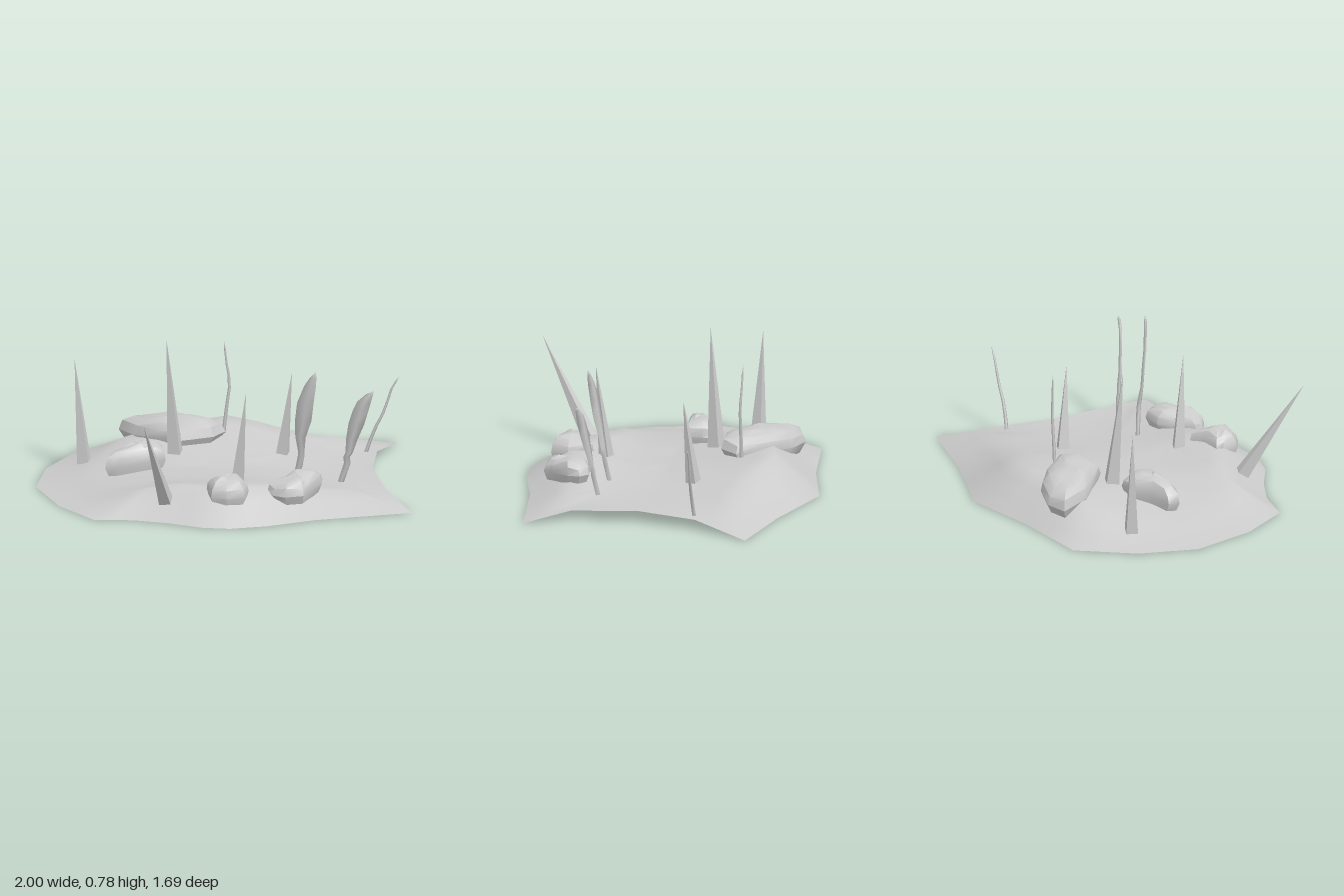
import * as THREE from 'three';
import { toCreasedNormals } from 'three/addons/utils/BufferGeometryUtils.js';

const smooth = new THREE.MeshStandardMaterial({ color: 0xcccccc, side: THREE.DoubleSide });
const faceted = new THREE.MeshStandardMaterial({ color: 0xcccccc, side: THREE.DoubleSide, flatShading: true });

// Piecewise linear curve through [t, value] pairs
function curve(points, t) {
  if (t <= points[0][0]) return points[0][1];
  for (let i = 1; i < points.length; i++) {
    const [t0, v0] = points[i - 1], [t1, v1] = points[i];
    if (t <= t1) return v0 + (v1 - v0) * (t - t0) / (t1 - t0);
  }
  return points[points.length - 1][1];
}

// Skin over a stack of equal rings, open below and closed by one apex point
function loft(rings, apex) {
  const n = rings[0].length, index = [];
  const top = rings.length * n;
  for (let r = 0; r < rings.length; r++) {
    for (let i = 0; i < n; i++) {
      const j = (i + 1) % n, a = r * n + i, b = r * n + j;
      if (r === rings.length - 1) index.push(a, top, b);
      else index.push(a, a + n, b, b, a + n, b + n);
    }
  }
  const geometry = new THREE.BufferGeometry();
  geometry.setAttribute('position', new THREE.Float32BufferAttribute([...rings.flat(), apex].flat(), 3));
  geometry.setIndex(index);
  geometry.computeVertexNormals();
  return geometry;
}

function addMesh(group, name, geometry, material = smooth) {
  const mesh = new THREE.Mesh(geometry, material);
  mesh.name = name;
  group.add(mesh);
  return mesh;
}

// Ground patch: outline corners as [x, z, edge height]
const outline = [
  [-1, -0.03, 0], [-0.92, -0.35, 0], [-0.73, -0.65, 0], [-0.29, -0.73, 0], [0.11, -0.85, 0],
  [0.56, -0.73, 0], [1, -0.66, 0], [0.87, -0.35, 0.055], [0.82, -0.02, 0.065], [0.87, 0.34, 0.055],
  [0.99, 0.58, 0], [0.46, 0.67, 0], [0.19, 0.76, 0], [-0.01, 0.79, 0], [-0.16, 0.76, 0],
  [-0.33, 0.67, 0], [-0.52, 0.6, 0], [-0.73, 0.58, 0], [-0.9, 0.32, 0],
];
const ridgeZ = [[-0.6, 0.2], [-0.3, 0.145], [0, 0.105], [0.25, 0.11], [0.45, 0.15], [0.6, 0.15]];
const ridgeX = [[-1, 0.3], [-0.7, 0.5], [-0.3, 1], [0.15, 1], [0.5, 0.65], [0.85, 0.5]];

function groundGeometry() {
  const edge = outline.flatMap((p, i) => {
    const q = outline[(i + 1) % outline.length];
    return [p, p.map((v, k) => (v + q[k]) / 2)];
  });
  const rings = [1, 0.9, 0.8, 0.7, 0.58, 0.45, 0.3, 0.15].map((s) => edge.map(([x, z, h]) => {
    const hill = curve(ridgeZ, z * s) * curve(ridgeX, x * s);
    const blend = Math.min(1, (1 - s) / 0.3);
    return [x * s, h + (hill - h) * blend, z * s];
  }));
  return loft(rings, [0, 0.105, 0]);
}

// Rock: plan outline swept through [scale, height fraction] levels, tilted by slopes
const rockLevels = [[0.86, 0], [1, 0.38], [0.93, 0.68], [0.7, 0.9], [0.35, 1]];
function rockGeometry({ plan, base, height, tiltX = 0, tiltZ = 0 }) {
  const cx = plan.reduce((sum, p) => sum + p[0], 0) / plan.length;
  const cz = plan.reduce((sum, p) => sum + p[1], 0) / plan.length;
  const rings = rockLevels.map(([scale, f], r) => plan.map(([x, z], i) => {
    const dx = (x - cx) * scale, dz = (z - cz) * scale;
    const bump = r > 1 ? 0.008 * Math.sin(i * 2.3 + r) : 0;
    return [cx + dx, base + f * height + tiltX * dx + tiltZ * dz + bump, cz + dz];
  }));
  return toCreasedNormals(loft(rings, [cx, base + height, cz]), 0.6);
}

const rocks = {
  largeBackRock: {
    base: 0.1, height: 0.155, tiltX: 0.06, tiltZ: 0.06,
    plan: [[-0.51, -0.6], [-0.4, -0.645], [-0.23, -0.61], [-0.1, -0.52], [0.05, -0.37], [-0.02, -0.27],
      [-0.2, -0.24], [-0.32, -0.34], [-0.43, -0.43]],
  },
  leftRock: {
    base: 0.075, height: 0.15, tiltX: 0.1,
    plan: [[-0.63, 0.03], [-0.62, -0.03], [-0.52, -0.08], [-0.43, -0.17], [-0.34, -0.18], [-0.3, -0.1],
      [-0.3, 0.01], [-0.4, 0.02], [-0.57, 0.045]],
  },
  frontRock: {
    base: 0.075, height: 0.145, tiltZ: -0.05,
    plan: [[-0.12, 0.53], [-0.11, 0.49], [0, 0.47], [0.07, 0.415], [0.11, 0.55], [0.08, 0.65], [-0.02, 0.66],
      [-0.1, 0.62]],
  },
  frontRightRock: {
    base: 0.075, height: 0.13, tiltX: 0.06, tiltZ: -0.06,
    plan: [[0.21, 0.52], [0.3, 0.43], [0.37, 0.36], [0.47, 0.34], [0.52, 0.38], [0.51, 0.45], [0.43, 0.56],
      [0.4, 0.61], [0.3, 0.61], [0.24, 0.57]],
  },
};

// Four-sided spike from base to tip
function addSpike(group, base, tip, radius) {
  const a = new THREE.Vector3(...base), b = new THREE.Vector3(...tip);
  const axis = b.clone().sub(a);
  const cone = new THREE.ConeGeometry(radius, axis.length(), 4, 1, true);
  cone.rotateY(0.5);
  const mesh = addMesh(group, 'spike', cone, faceted);
  mesh.position.copy(a).add(b).multiplyScalar(0.5);
  mesh.quaternion.setFromUnitVectors(new THREE.Vector3(0, 1, 0), axis.normalize());
}

// Leaf: diamond sections given as [y, left edge, right edge], leaning to the front
function leafGeometry(sections, z0, lean, tip) {
  const rings = sections.map(([y, x0, x1], i) => {
    const z = z0 + lean * (y - 0.08), t = i < 4 ? 0.013 : 0.009, m = (x0 + x1) / 2;
    const twist = (x1 - x0) * 0.15;
    return [[x0, y, z - twist], [m, y, z - t], [x1, y, z + twist], [m, y, z + t]];
  });
  return loft(rings, tip);
}

// Thin bent stem that tapers along its path
function stemGeometry(points, radius) {
  const path = new THREE.CatmullRomCurve3(points.map((p) => new THREE.Vector3(...p)));
  const rings = [0, 0.15, 0.3, 0.45, 0.6, 0.75, 0.9].map((t) => {
    const p = path.getPoint(t), r = radius * (1 - 0.6 * t);
    return [0, 1, 2, 3].map((k) => [p.x - r * Math.cos(k * Math.PI / 2), p.y, p.z - r * Math.sin(k * Math.PI / 2)]);
  });
  return loft(rings, points[points.length - 1]);
}

export function createModel() {
  const model = new THREE.Group();
  model.name = 'rockyGroundPatch';
  addMesh(model, 'ground', groundGeometry());

  for (const [name, rock] of Object.entries(rocks)) addMesh(model, name, rockGeometry(rock));

  const spikes = new THREE.Group();
  spikes.name = 'spikes';
  model.add(spikes);
  addSpike(spikes, [-0.72, 0.045, -0.3], [-0.77, 0.63, -0.315], 0.045);
  addSpike(spikes, [-0.235, 0.11, -0.19], [-0.285, 0.78, -0.145], 0.05);
  addSpike(spikes, [-0.34, 0.09, 0.54], [-0.48, 0.605, 0.84], 0.045);
  addSpike(spikes, [0.06, 0.09, 0.345], [0.105, 0.64, 0.395], 0.045);
  addSpike(spikes, [0.345, 0.08, -0.21], [0.395, 0.57, -0.165], 0.045);

  // Broad leaves on short stalks
  addMesh(model, 'tallLeaf', leafGeometry([
    [0.08, 0.36, 0.39], [0.18, 0.385, 0.42], [0.24, 0.395, 0.43], [0.27, 0.395, 0.43], [0.35, 0.38, 0.435],
    [0.45, 0.378, 0.465], [0.55, 0.388, 0.475], [0.65, 0.425, 0.487], [0.7, 0.455, 0.49],
  ], 0.25, 0.145, [0.487, 0.735, 0.345]));
  addMesh(model, 'shortLeaf', leafGeometry([
    [0.08, 0.612, 0.645], [0.19, 0.645, 0.68], [0.225, 0.64, 0.675], [0.25, 0.652, 0.69], [0.33, 0.655, 0.715],
    [0.42, 0.667, 0.75], [0.5, 0.69, 0.772], [0.55, 0.712, 0.785], [0.595, 0.76, 0.797],
  ], 0.25, 0.15, [0.802, 0.615, 0.33]));

  // Thin stems
  addMesh(model, 'leaningStem', stemGeometry([
    [0.805, 0.05, -0.33], [0.85, 0.18, -0.325], [0.91, 0.3, -0.33], [0.945, 0.41, -0.335], [0.99, 0.485, -0.335],
  ], 0.011));
  addMesh(model, 'uprightStem', stemGeometry([
    [0.04, 0.14, -0.4], [0.055, 0.28, -0.4], [0.075, 0.45, -0.4], [0.06, 0.55, -0.405], [0.045, 0.69, -0.41],
  ], 0.011));
  return model;
}
